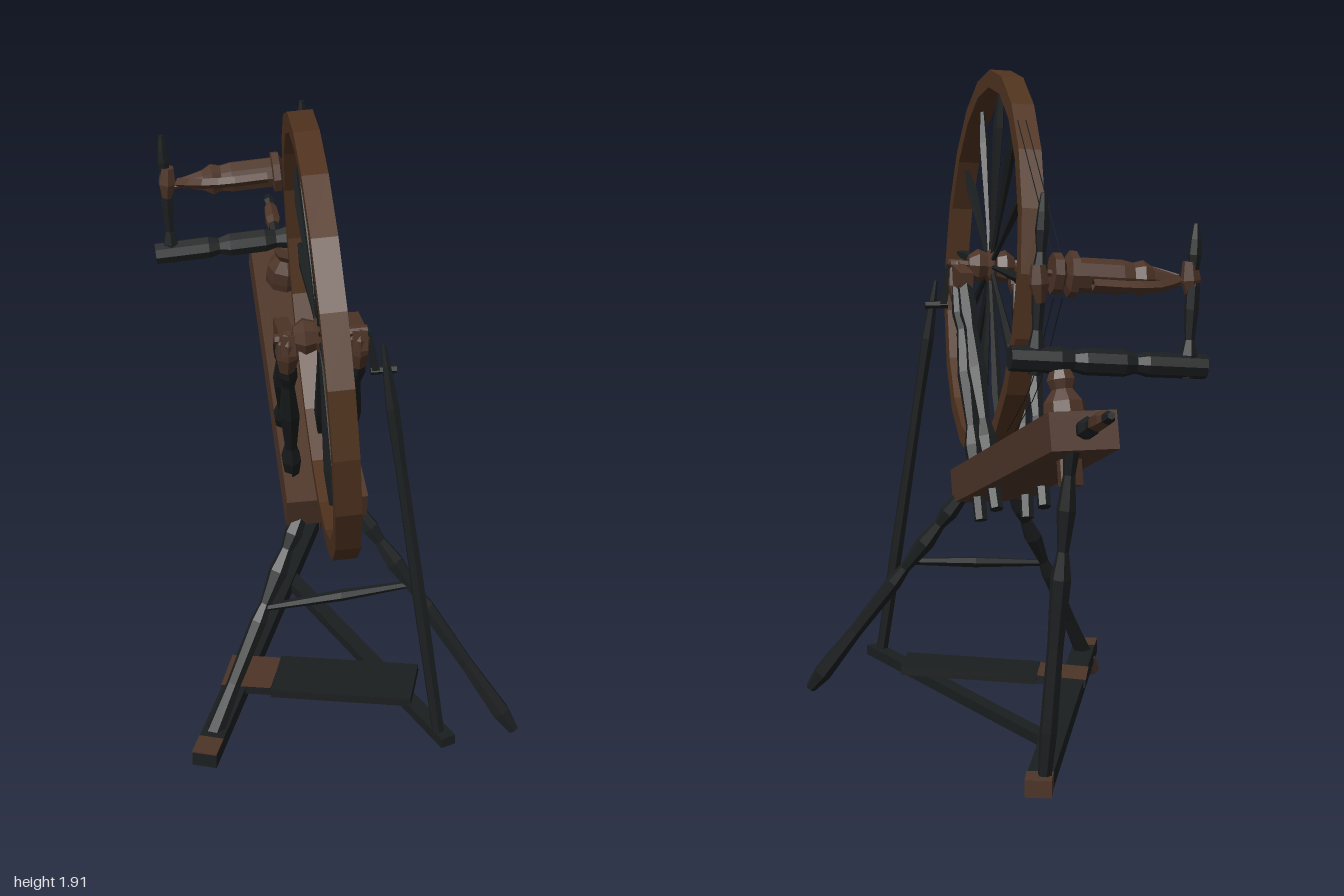
import * as THREE from 'three';

const mat = (name, color) => {
  const m = new THREE.MeshStandardMaterial({ color, flatShading: true, side: THREE.DoubleSide });
  m.name = name;
  return m;
};
const V = (a) => new THREE.Vector3(...a);
const UP = new THREE.Vector3(0, 1, 0);

export function createModel() {
  const model = new THREE.Group();
  model.name = 'spinningWheel';
  const wood = mat('brownWood', 0x4d3427);
  const rimWood = mat('rimWood', 0x50331f);
  const dark = mat('darkWood', 0x1b1e1f);

  const add = (name, geo, material, parent = model) => {
    const m = new THREE.Mesh(geo, material);
    m.name = name;
    parent.add(m);
    return m;
  };
  // Turned piece from a to b; profile is a list of [fraction along, radius]
  const turned = (name, a, b, profile, material, parent = model, sides = 6) => {
    const d = V(b).sub(V(a)), len = d.length();
    const pts = profile.map(([t, r]) => new THREE.Vector2(r, t * len));
    pts.unshift(new THREE.Vector2(0, pts[0].y));
    pts.push(new THREE.Vector2(0, pts[pts.length - 1].y));
    const m = add(name, new THREE.LatheGeometry(pts, sides), material, parent);
    m.position.copy(V(a));
    m.quaternion.setFromUnitVectors(UP, d.normalize());
    return m;
  };
  // Straight board from a to b, kept level across its width
  const board = (name, a, b, w, h, material, parent = model) => {
    const A = V(a), B = V(b);
    const m = add(name, new THREE.BoxGeometry(w, h, A.distanceTo(B)), material, parent);
    m.position.copy(A).lerp(B, 0.5);
    m.lookAt(B);
    return m;
  };
  const tube = (name, points, steps, r, sides, material) =>
    add(name, new THREE.TubeGeometry(new THREE.CatmullRomCurve3(points.map(V)), steps, r, sides), material);
  const rod = (r) => [[0, r], [1, r]];

  // Drive wheel, built flat around y and then tipped onto its axle
  const wheel = new THREE.Group();
  wheel.name = 'driveWheel';
  const ro = 0.588, ri = 0.535, h = 0.033;
  const ring = [[ro, -h], [ro, h], [ri, h], [ri, -h], [ro, -h]].map((p) => new THREE.Vector2(...p));
  add('rim', new THREE.LatheGeometry(ring, 20), rimWood, wheel);
  for (let i = 0; i < 12; i++) {
    const a = (i * Math.PI) / 6 + 0.04, c = Math.cos(a), s = Math.sin(a);
    turned('spoke', [c * 0.03, 0, s * 0.03], [c * 0.545, 0, s * 0.545],
      [[0, 0.008], [0.25, 0.009], [0.55, 0.014], [0.75, 0.017], [1, 0.007]], dark, wheel, 5);
  }
  turned('hub', [0, -0.07, 0], [0, 0.07, 0],
    [[0, 0.03], [0.2, 0.05], [0.4, 0.04], [0.5, 0.06], [0.6, 0.04], [0.8, 0.05], [1, 0.03]], wood, wheel, 8);
  turned('axle', [0, -0.12, 0], [0, 0.125, 0], rod(0.014), wood, wheel);
  wheel.position.set(-0.093, 1.305, 0.413);
  wheel.quaternion.setFromUnitVectors(UP, new THREE.Vector3(1, 0.06, 0.045).normalize());
  model.add(wheel);

  // Crank and connecting rod
  board('crankArm', [0.03, 1.31, 0.42], [0.055, 1.19, 0.42], 0.02, 0.02, dark);
  turned('crankPin', [0.04, 1.19, 0.42], [0.11, 1.19, 0.42], rod(0.012), dark);
  turned('connectingRod', [0.22, 0.08, 0.58], [0.075, 1.265, 0.42],
    [[0, 0.018], [0.3, 0.02], [0.7, 0.017], [0.85, 0.02], [0.95, 0.012], [1, 0.006]], dark);

  // Sloping bench with a shallow tray top, narrower at the back
  const bench = new THREE.Group();
  bench.name = 'bench';
  const taper = (len, f, b) => {
    const s = new THREE.Shape();
    s.moveTo(-f, -len).lineTo(f, -len).lineTo(b, len).lineTo(-b, len).closePath();
    return s;
  };
  const slab = (shape, depth) => new THREE.ExtrudeGeometry(shape, { depth, bevelEnabled: false }).rotateX(-Math.PI / 2);
  add('benchBoard', slab(taper(0.535, 0.115, 0.09), 0.085), wood, bench).position.y = -0.05;
  const edge = taper(0.535, 0.115, 0.09);
  edge.holes.push(taper(0.505, 0.09, 0.066));
  add('benchEdge', slab(edge, 0.017), wood, bench).position.y = 0.034;
  bench.position.set(-0.052, 0.823, -0.242);
  bench.rotation.x = 0.312;
  model.add(bench);

  // Wheel posts: one upright and one brace on each side of the wheel
  const post = [[0, 0.02], [0.2, 0.022], [0.3, 0.03], [0.38, 0.018], [0.6, 0.03], [0.78, 0.018], [0.85, 0.028], [1, 0.022]];
  for (const [bottom, top] of [[-0.125, -0.18], [0.015, 0.01]]) {
    turned('wheelPost', [bottom, 0.59, 0.09], [top, 1.27, 0.41], post, dark);
    turned('postHead', [top, 1.2, 0.4], [top, 1.32, 0.42], [[0, 0.022], [0.4, 0.034], [0.8, 0.03], [1, 0.012]], wood);
    turned('postBrace', [bottom, 0.66, -0.1], [top, 1.27, 0.32], post, dark);
    board('bearing', [top, 1.29, 0.44], [top, 1.27, 0.29], 0.04, 0.055, wood);
  }

  // Legs and front stretcher
  const leg = [[0, 0.016], [0.08, 0.028], [0.3, 0.021], [0.55, 0.024], [0.62, 0.016], [0.75, 0.028], [0.84, 0.018], [0.9, 0.027], [1, 0.018]];
  turned('frontLeg', [-0.44, 0, 0.485], [-0.115, 0.65, 0.23], leg, dark);
  turned('frontLegFoot', [-0.445, 0, 0.488], [-0.42, 0.045, 0.47], [[0, 0.024], [1, 0.029]], wood);
  turned('frontLeg', [0.46, 0, 0.5], [0.03, 0.65, 0.23], leg, dark);
  turned('legStretcher', [-0.235, 0.395, 0.335], [0.19, 0.425, 0.325], [[0, 0.01], [0.5, 0.017], [1, 0.01]], dark);
  turned('backLeg', [0.022, 0.04, -0.65], [-0.03, 0.96, -0.715],
    [[0, 0.018], [0.15, 0.024], [0.4, 0.022], [0.6, 0.028], [0.68, 0.016], [0.8, 0.026], [0.9, 0.016], [1, 0.026]], dark);

  // Treadle: foot bar with a brown underside, swinging arm and foot plate
  board('footBar', [-0.448, 0.06, 0.57], [0.04, 0.033, -0.66], 0.07, 0.045, [dark, dark, dark, wood, dark, dark]);
  board('footBarFrontTop', [-0.448, 0.083, 0.57], [-0.42, 0.081, 0.5], 0.071, 0.004, wood);
  board('footBarBackEnd', [0.025, 0.034, -0.62], [0.05, 0.032, -0.69], 0.072, 0.047, wood);
  board('treadleArm', [0.24, 0.08, 0.62], [-0.09, 0.035, -0.33], 0.045, 0.03, dark);
  board('footPlate', [-0.2, 0.075, 0.24], [0.19, 0.095, 0.37], 0.17, 0.025, dark);
  board('footPlateEnd', [-0.34, 0.065, 0.19], [-0.2, 0.075, 0.24], 0.15, 0.025, [dark, dark, wood, dark, dark, dark]);

  // Spinning head: support post, cross bar and two spiked uprights
  turned('headPeg', [-0.055, 0.82, -0.62], [-0.055, 0.97, -0.575], rod(0.034), wood);
  turned('headPost', [-0.055, 0.95, -0.58], [-0.05, 1.11, -0.53],
    [[0, 0.055], [0.25, 0.058], [0.5, 0.055], [0.7, 0.03], [0.85, 0.04], [1, 0.03]], wood, model, 8);
  turned('crossBar', [-0.45, 1.108, -0.53], [0.085, 1.147, -0.52],
    [[0, 0.033], [0.3, 0.034], [0.36, 0.026], [0.42, 0.036], [0.62, 0.036], [0.68, 0.028], [0.75, 0.036], [1, 0.034]], dark, model, 8);
  const spike = [[0, 0.018], [0.15, 0.024], [0.25, 0.014], [0.45, 0.02], [0.6, 0.02], [0.68, 0.013], [0.8, 0.019], [0.9, 0.015], [1, 0.008]];
  turned('headUpright', [0.015, 1.1, -0.515], [-0.005, 1.575, -0.525], spike, dark);
  turned('headUpright', [-0.4, 1.08, -0.53], [-0.42, 1.49, -0.53], spike, dark);
  for (const x of [0.005, -0.41]) {
    turned('spindleBearing', [x, 1.29, -0.525], [x + 0.005, 1.39, -0.525], [[0, 0.014], [0.5, 0.028], [1, 0.02]], wood);
  }

  // Flyer with bobbin and pulley on a spindle
  turned('spindle', [-0.42, 1.33, -0.52], [0.02, 1.37, -0.51], rod(0.01), wood);
  turned('bobbin', [-0.37, 1.34, -0.52], [-0.03, 1.365, -0.51],
    [[0, 0.014], [0.2, 0.032], [0.28, 0.048], [0.36, 0.04], [0.45, 0.046], [0.8, 0.046], [0.81, 0.062], [0.87, 0.062],
      [0.9, 0.035], [0.93, 0.055], [1, 0.055]], wood, model, 8);
  for (const s of [-1, 1]) {
    tube('flyerArm', [[-0.375, 1.34, -0.52], [-0.31, 1.345 + s * 0.015, -0.515 + s * 0.055],
      [-0.25, 1.35 + s * 0.02, -0.51 + s * 0.075], [-0.12, 1.36 + s * 0.02, -0.51 + s * 0.08]], 6, 0.016, 4, wood);
  }

  // Tension screw at the back of the bench
  turned('tensionScrew', [-0.05, 0.985, -0.745], [-0.05, 1.025, -0.86], [[0, 0.022], [0.4, 0.03], [0.6, 0.016], [1, 0.02]], dark);
  turned('screwHandle', [-0.05, 1.015, -0.83], [-0.05, 1.05, -0.95], [[0, 0.016], [0.4, 0.025], [0.8, 0.022], [1, 0.012]], wood);
  turned('screwTip', [-0.05, 1.045, -0.94], [-0.05, 1.062, -0.99], [[0, 0.012], [0.5, 0.018], [1, 0.01]], dark);

  // Drive cords between the wheel and the pulley, the lower run sagging
  for (const dx of [-0.012, 0.012]) {
    turned('driveCord', [-0.09 + dx, 1.75, 0.03], [-0.045 + dx, 1.42, -0.5], rod(0.0014), dark, model, 4);
    tube('driveCord', [[-0.06 + dx, 0.86, 0.03], [-0.055 + dx, 1.03, -0.25], [-0.045 + dx, 1.3, -0.52]], 6, 0.0014, 4, dark);
  }
  return model;
}
